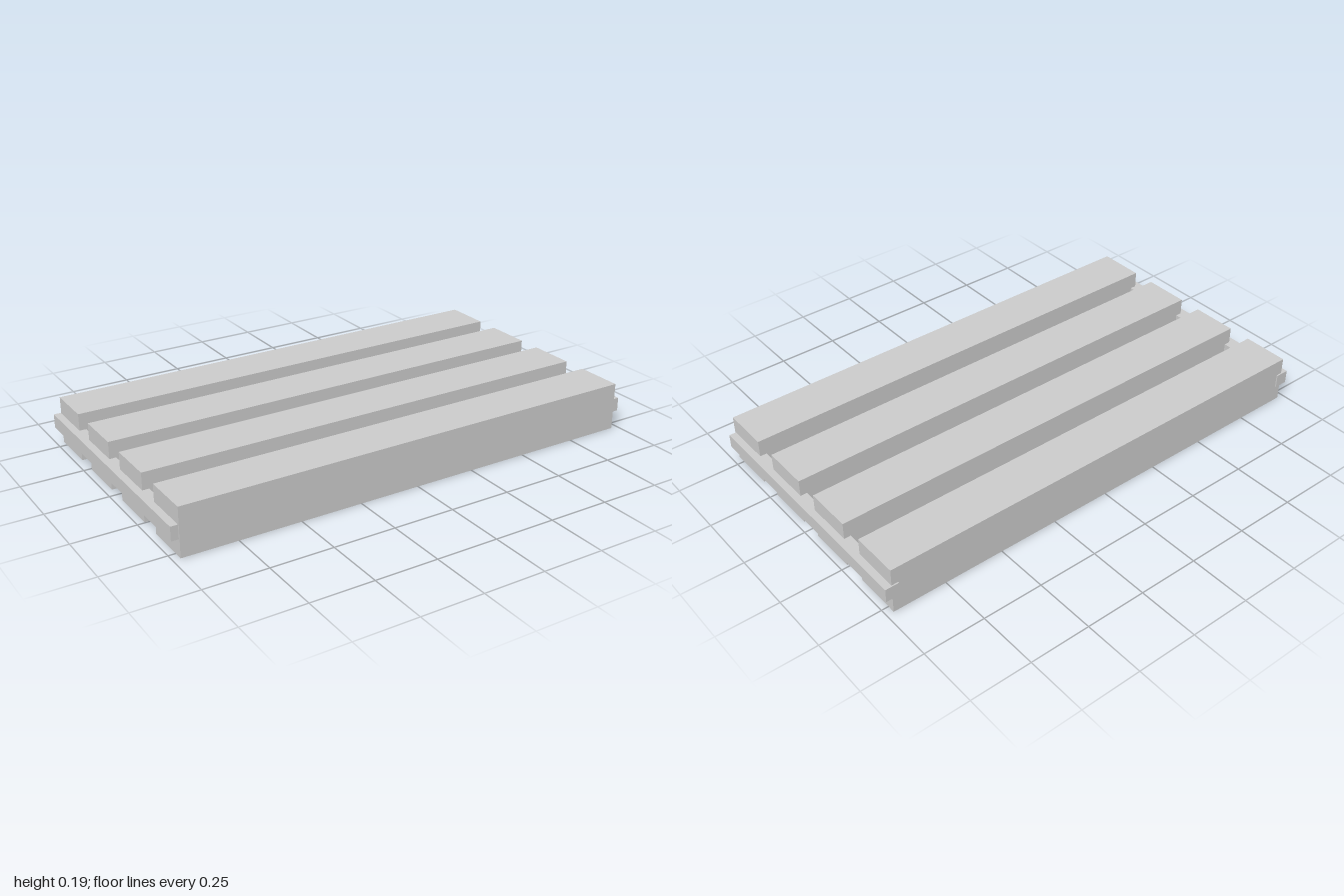
import * as THREE from 'three';

export function createModel() {
  const model = new THREE.Group();
  const material = new THREE.MeshStandardMaterial({ color: 0xcccccc, flatShading: true });

  function addBox(name, size, position) {
    const mesh = new THREE.Mesh(new THREE.BoxGeometry(...size), material);
    mesh.name = name;
    mesh.position.set(...position);
    model.add(mesh);
  }

  // Four long square beams, evenly spaced front to back
  const thickness = 0.195, spacing = 0.2918;
  for (let i = 0; i < 4; i++) {
    addBox(`beam${i + 1}`, [1.942, thickness, 0.194], [0, thickness / 2, 0.003 + (1.5 - i) * spacing]);
  }

  // Rails let into the beam ends, set slightly towards the back
  for (const [name, side] of [['leftRail', 1], ['rightRail', -1]]) {
    addBox(name, [0.056, 0.056, 1.069], [side * 0.972, 0.098, -0.0025]);
  }

  return model;
}
